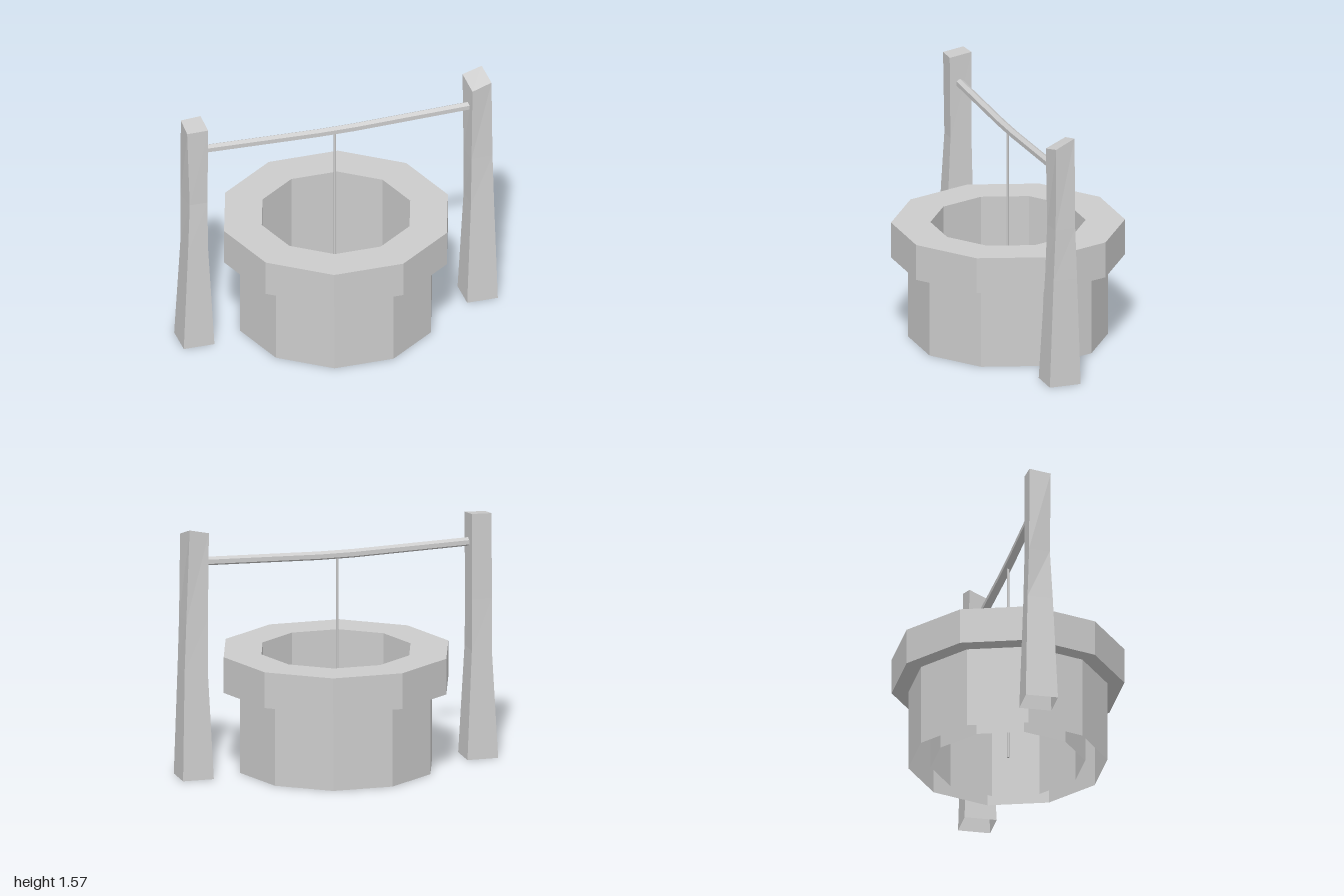
import * as THREE from 'three';

const material = new THREE.MeshStandardMaterial({ color: 0xcccccc, flatShading: true, side: THREE.DoubleSide });

function addMesh(group, name, geometry) {
  const mesh = new THREE.Mesh(geometry, material);
  mesh.name = name;
  group.add(mesh);
  return mesh;
}

// Skin a list of rings (each a counter-clockwise loop seen from the path's end),
// optionally closing the first and last ring.
function loft(rings, capStart, capEnd) {
  const n = rings[0].length;
  const index = [];
  for (let r = 0; r < rings.length - 1; r++) {
    for (let i = 0; i < n; i++) {
      const a = r * n + i, b = r * n + (i + 1) % n;
      index.push(a, b, b + n, a, b + n, a + n);
    }
  }
  const last = (rings.length - 1) * n;
  for (let i = 1; i < n - 1; i++) {
    if (capStart) index.push(0, i + 1, i);
    if (capEnd) index.push(last, last + i, last + i + 1);
  }
  const geometry = new THREE.BufferGeometry();
  geometry.setAttribute('position', new THREE.Float32BufferAttribute(rings.flat(2), 3));
  geometry.setIndex(index);
  geometry.computeVertexNormals();
  return geometry;
}

// Level four-cornered ring: front left, front right, back right, back left
const level = (x0, x1, z0, z1, y) => [[x0, y, z1], [x1, y, z1], [x1, y, z0], [x0, y, z0]];

export function createModel() {
  const group = new THREE.Group();
  group.name = 'well';

  // Ten-sided stone wall with an overhanging rim, open through the middle
  const profile = [[0.61, 0], [0.61, 0.51], [0.713, 0.51], [0.713, 0.735], [0.473, 0.735], [0.473, 0]]
    .map(([r, y]) => new THREE.Vector2(r, y));
  addMesh(group, 'stoneWall', new THREE.LatheGeometry(profile, 10, Math.PI / 2));

  // Rough tapering posts with crooked tops, open underneath
  addMesh(group, 'rightPost', loft([
    level(-1, -0.805, -0.1, 0.1, 0),
    level(-0.965, -0.838, -0.082, 0.075, 0.68),
    [[-0.95, 1, 0.06], [-0.838, 1, 0.062], [-0.84, 1, -0.075], [-0.968, 1, -0.073]],
    [[-0.967, 1.515, 0.062], [-0.835, 1.52, 0.068], [-0.84, 1.54, -0.075], [-0.967, 1.535, -0.07]],
  ], false, true));
  addMesh(group, 'leftPost', loft([
    level(0.805, 1, -0.1, 0.1, 0),
    level(0.838, 0.985, -0.082, 0.07, 0.68),
    [[0.845, 1, 0.06], [0.98, 1, 0.055], [0.972, 1, -0.075], [0.835, 1, -0.074]],
    [[0.848, 1.49, 0.07], [0.975, 1.52, 0.05], [0.952, 1.57, -0.078], [0.826, 1.54, -0.065]],
  ], false, true));

  // Sagging six-sided crossbeam
  const beamPath = [[-0.87, 1.35], [-0.11, 1.329], [0.11, 1.329], [0.87, 1.35]];
  addMesh(group, 'crossbeam', loft(beamPath.map(([x, y]) =>
    Array.from({ length: 6 }, (_, i) => {
      const a = i * Math.PI / 3;
      return [x, y + 0.027 * Math.cos(a), 0.027 * Math.sin(a)];
    })), true, true));

  // Rope hanging down into the well
  const rope = addMesh(group, 'rope', new THREE.CylinderGeometry(0.008, 0.008, 1.28, 6));
  rope.position.set(-0.008, 0.68, 0);

  return group;
}
